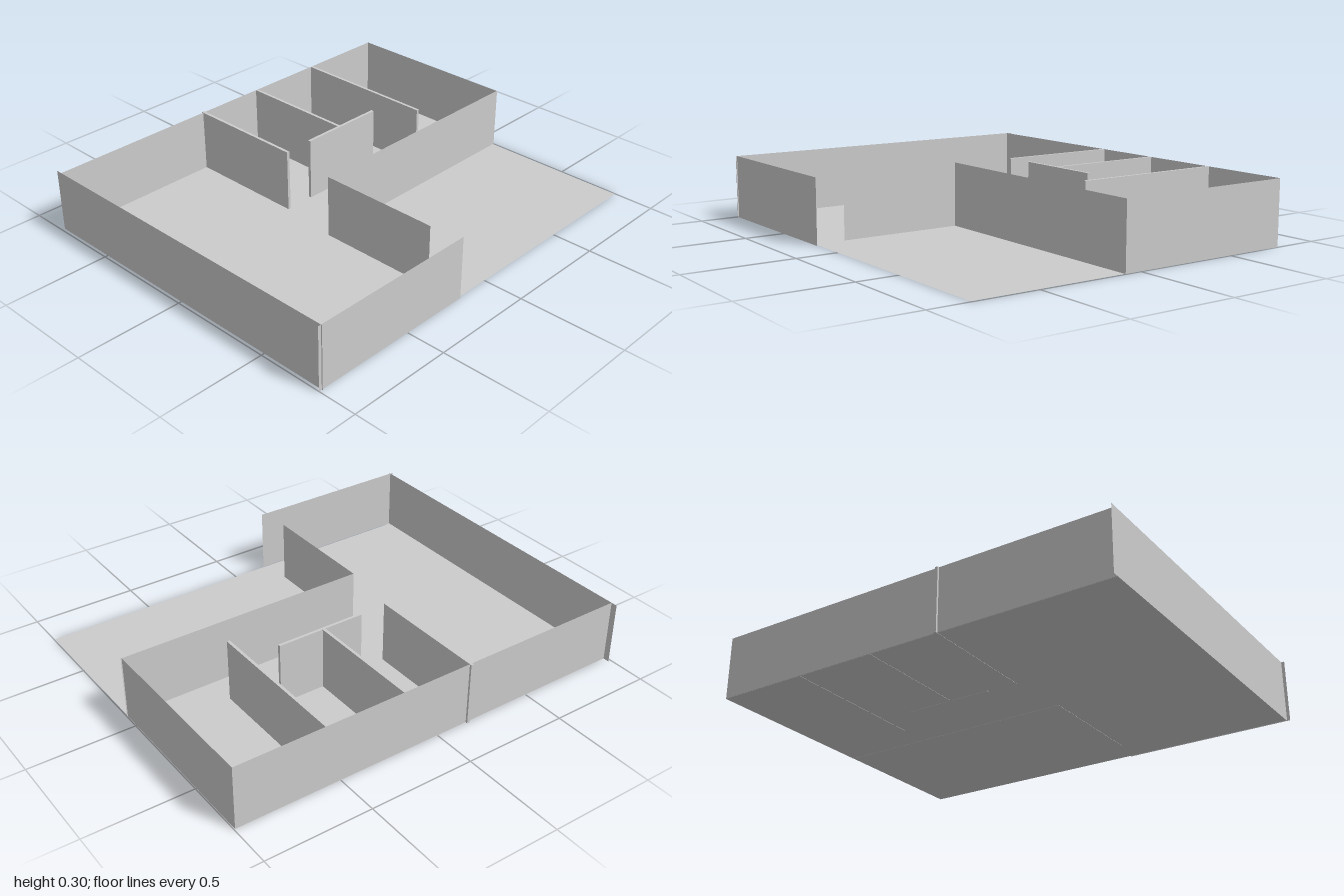
import * as THREE from 'three';

const HEIGHT = 0.3;
const THICK = 0.014;

export function createModel() {
  const group = new THREE.Group();
  const sheet = new THREE.MeshStandardMaterial({ color: 0xcccccc, side: THREE.DoubleSide, flatShading: true });
  const solid = new THREE.MeshStandardMaterial({ color: 0xcccccc, flatShading: true });

  // Upright paper-thin wall between two plan points
  function outerWall(name, x1, z1, x2, z2) {
    const length = Math.hypot(x2 - x1, z2 - z1);
    const mesh = new THREE.Mesh(new THREE.PlaneGeometry(length, HEIGHT), sheet);
    mesh.position.set((x1 + x2) / 2, HEIGHT / 2, (z1 + z2) / 2);
    mesh.rotation.y = -Math.atan2(z2 - z1, x2 - x1);
    mesh.name = name;
    group.add(mesh);
  }

  // Thick partition filling a plan rectangle
  function partition(name, x1, z1, x2, z2) {
    const mesh = new THREE.Mesh(new THREE.BoxGeometry(x2 - x1, HEIGHT, z2 - z1), solid);
    mesh.position.set((x1 + x2) / 2, HEIGHT / 2, (z1 + z2) / 2);
    mesh.name = name;
    group.add(mesh);
  }

  // Floor slab
  const floor = new THREE.Mesh(new THREE.PlaneGeometry(1.98, 1.6), sheet);
  floor.rotation.x = -Math.PI / 2;
  floor.position.set(0.005, 0.001, 0.008);
  floor.name = 'floor';
  group.add(floor);

  // Outer walls, with the entrance gap and the open terrace at the front
  outerWall('rightWall', -0.985, -0.82, -0.985, 0.82);
  outerWall('backWall', -0.985, -0.79, 0.995, -0.79);
  outerWall('leftWall', 0.995, -0.79, 0.995, 0.08);
  outerWall('terraceWall', -0.2, 0.08, 1, 0.08);
  outerWall('entranceWall', -0.2, 0.08, -0.2, 0.665);
  outerWall('frontWall', -1, 0.815, -0.17, 0.815);

  // Room partitions running forward from the back wall: [x, back z, front z]
  const rooms = [[-0.162, -0.8, -0.21], [0.182, -0.79, -0.225], [0.566, -0.79, -0.065]];
  for (const [x, back, front] of rooms) {
    partition('roomPartition', x - THICK / 2, back, x + THICK / 2, front);
  }
  partition('crossPartition', -0.02, -0.225, 0.41, -0.225 + THICK);

  return group;
}
